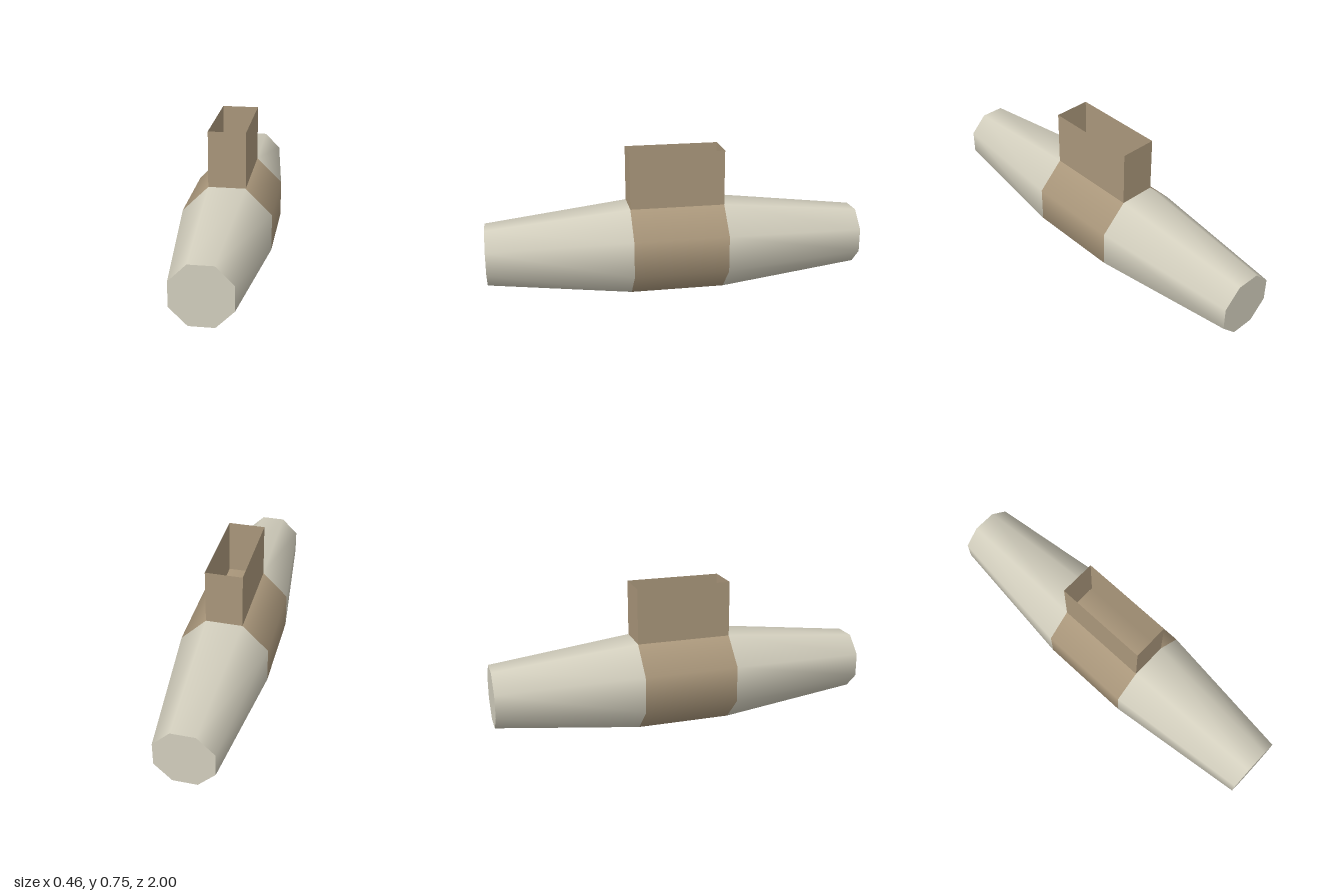
import * as THREE from 'three';

const SIDES = 8;
const R_MID = 0.25, R_END = 0.162; // corner radii of the octagons
const AXIS_Y = 0.231, HALF_BAND = 0.25;
const CHUTE_HALF = 0.096, CHUTE_BASE = 0.462, CHUTE_TOP = 0.755;

export function createModel() {
  const model = new THREE.Group();
  const cream = new THREE.MeshStandardMaterial({ name: 'cream', color: 0xd3cfbe });
  const tan = new THREE.MeshStandardMaterial({ name: 'tan', color: 0xaa977b, side: THREE.DoubleSide });

  const add = (name, geometry, material, parent = model) => {
    const mesh = new THREE.Mesh(geometry, material);
    mesh.name = name;
    parent.add(mesh);
    return mesh;
  };

  // Open octagonal tube along z, flat side up
  const tube = (rFront, rBack, length) =>
    new THREE.CylinderGeometry(rFront, rBack, length, SIDES, 1, true, Math.PI / SIDES).rotateX(Math.PI / 2);

  // Middle band
  add('middleBand', tube(R_MID, R_MID, HALF_BAND * 2), tan).position.y = AXIS_Y;

  // Tapered ends with flat caps, mirrored front to back
  for (const [name, turn] of [['front', 0], ['back', Math.PI]]) {
    const end = new THREE.Group();
    end.name = name + 'End';
    end.position.y = AXIS_Y;
    end.rotation.y = turn;
    const length = 1 - HALF_BAND;
    add(name + 'Taper', tube(R_END, R_MID, length), cream, end).position.z = HALF_BAND + length / 2;
    add(name + 'Cap', new THREE.CircleGeometry(R_END, SIDES, Math.PI / SIDES), cream, end).position.z = 1;
    model.add(end);
  }

  // Open-topped rectangular chute made of four thin walls
  const chute = new THREE.Group();
  chute.name = 'chute';
  chute.position.y = (CHUTE_BASE + CHUTE_TOP) / 2;
  const height = CHUTE_TOP - CHUTE_BASE;
  for (let i = 0; i < 4; i++) {
    const across = i % 2 === 0;
    const width = 2 * (across ? CHUTE_HALF : HALF_BAND);
    const wall = new THREE.PlaneGeometry(width, height)
      .translate(0, 0, across ? HALF_BAND : CHUTE_HALF)
      .rotateY(i * Math.PI / 2);
    add('chuteWall' + (i + 1), wall, tan, chute);
  }
  model.add(chute);

  return model;
}
